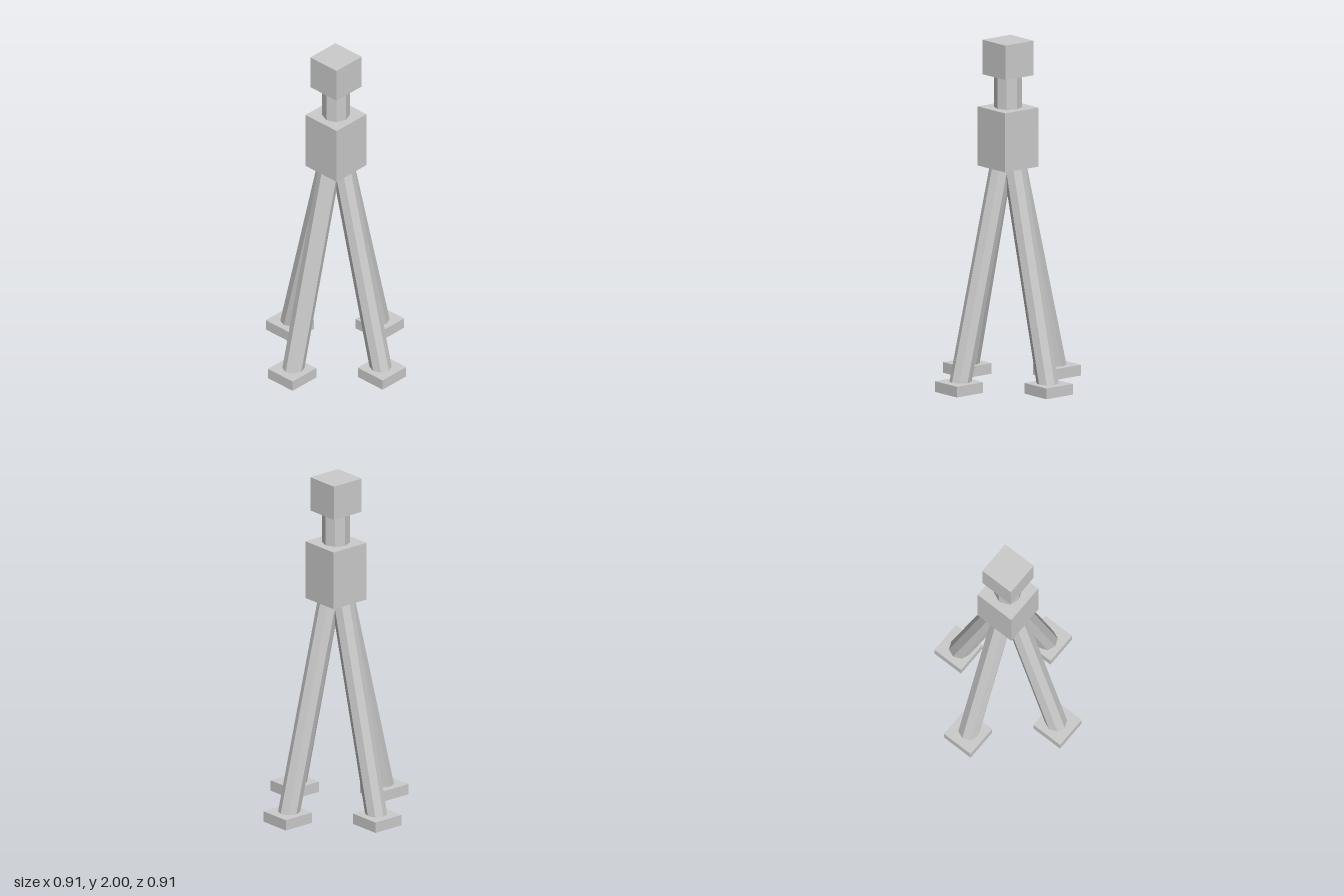
import * as THREE from 'three';

export function createModel() {
  const model = new THREE.Group();
  model.name = 'fourLeggedStand';
  const material = new THREE.MeshStandardMaterial({ color: 0xcccccc, flatShading: true });

  const add = (parent, name, geometry, x, y, z) => {
    const mesh = new THREE.Mesh(geometry, material);
    mesh.name = name;
    mesh.position.set(x, y, z);
    parent.add(mesh);
    return mesh;
  };

  // Central column: body, octagonal neck and head block
  add(model, 'body', new THREE.BoxGeometry(0.244, 0.342, 0.244), 0, 1.442, 0);
  add(model, 'neck', new THREE.CylinderGeometry(0.079, 0.079, 0.21, 8), 0, 1.706, 0);
  add(model, 'head', new THREE.BoxGeometry(0.206, 0.2, 0.206), 0, 1.9, 0);

  // Four splayed octagonal legs, each on a square foot
  const bottom = new THREE.Vector3(0.363, 0.015, 0);
  const top = new THREE.Vector3(0.024, 1.4, 0);
  const axis = top.clone().sub(bottom);
  const mid = top.clone().add(bottom).multiplyScalar(0.5);
  const legGeometry = new THREE.CylinderGeometry(0.062, 0.062, axis.length(), 8);
  const footGeometry = new THREE.BoxGeometry(0.194, 0.062, 0.194);

  ['left', 'back', 'right', 'front'].forEach((side, i) => {
    const assembly = new THREE.Group();
    assembly.name = `${side}LegAssembly`;
    const leg = add(assembly, `${side}Leg`, legGeometry, mid.x, mid.y, 0);
    leg.rotation.z = Math.atan2(-axis.x, axis.y);
    add(assembly, `${side}Foot`, footGeometry, 0.36, 0.041, 0);
    assembly.rotation.y = i * Math.PI / 2;
    model.add(assembly);
  });

  return model;
}
